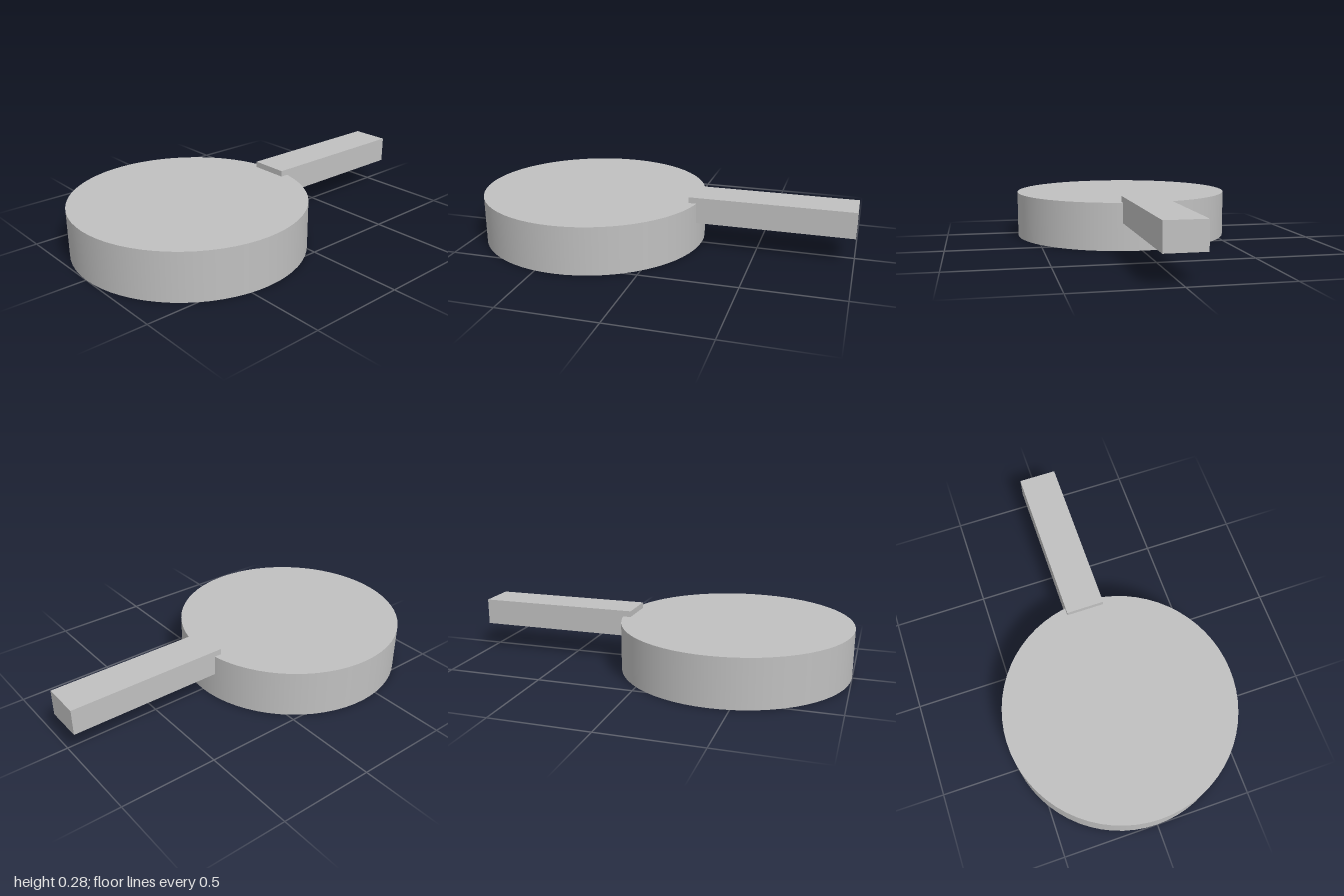
import * as THREE from 'three';

export function createModel() {
  const model = new THREE.Group();
  const grey = new THREE.MeshStandardMaterial({ color: 0xc0c0c0 });
  grey.name = 'light grey';

  const addPart = (name, geometry, x, y, z) => {
    const mesh = new THREE.Mesh(geometry, grey);
    mesh.name = name;
    mesh.position.set(x, y, z);
    model.add(mesh);
  };

  // Solid round pan body
  addPart('panBody', new THREE.CylinderGeometry(0.6, 0.6, 0.25, 64), -0.4, 0.125, 0);

  // Straight handle, sunk slightly into the rim and standing just above it
  addPart('handle', new THREE.BoxGeometry(0.85, 0.137, 0.2), 0.575, 0.2125, 0);

  return model;
}
